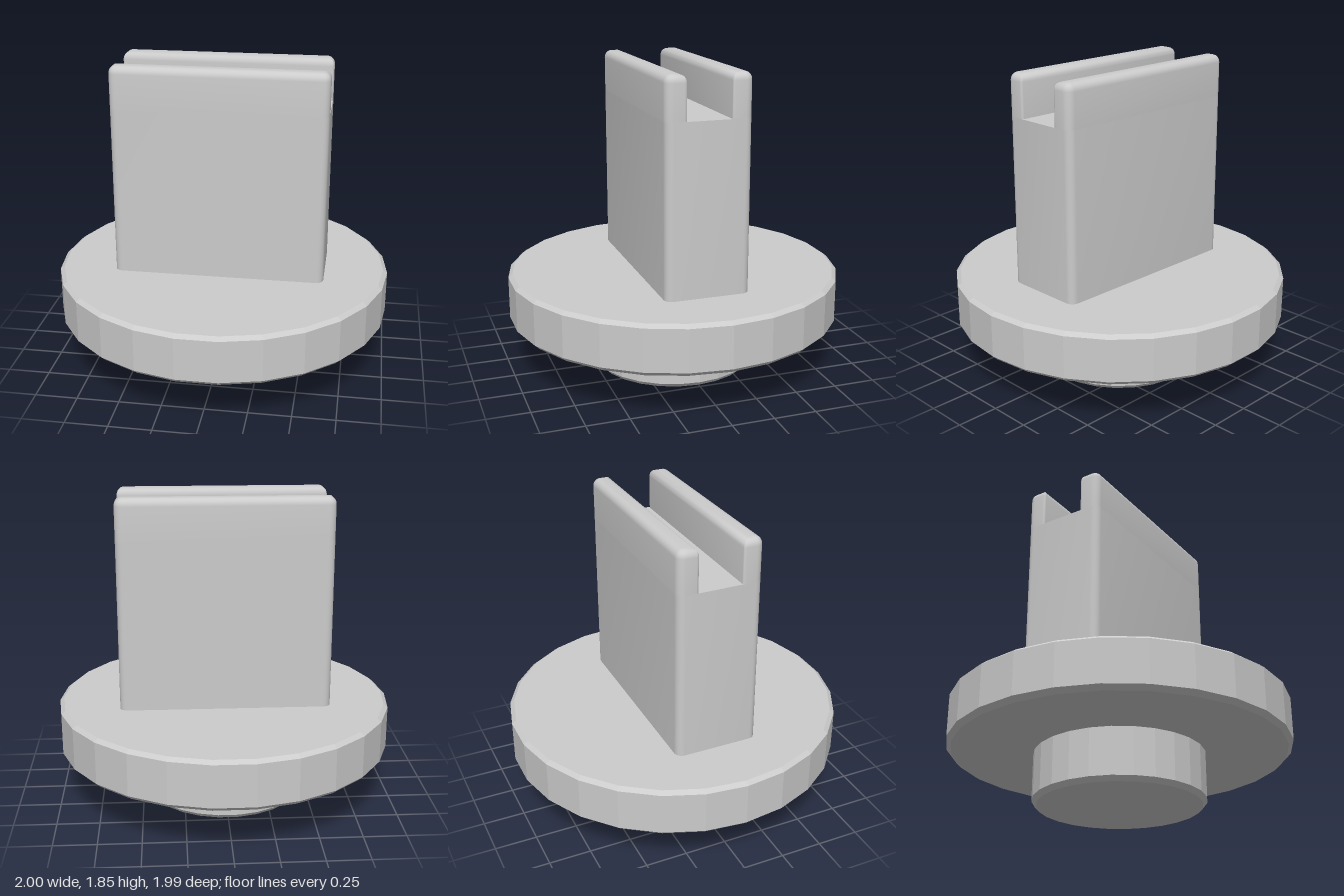
import * as THREE from 'three';
import { toCreasedNormals } from 'three/addons/utils/BufferGeometryUtils.js';

const SIDES = 26;
const HALF_WIDTH = 0.625;
const ROUND = 0.045;

const smooth = new THREE.MeshStandardMaterial({ color: 0xcccccc });
const faceted = new THREE.MeshStandardMaterial({ color: 0xcccccc, flatShading: true });

function addMesh(group, name, geometry, material) {
  const mesh = new THREE.Mesh(geometry, material);
  mesh.name = name;
  group.add(mesh);
}

// Turned disc from a radius/height profile, with a corner on the x axis
function turned(points) {
  const profile = points.map(([r, y]) => new THREE.Vector2(r, y));
  return new THREE.LatheGeometry(profile, SIDES, Math.PI / 2);
}

// Upright slab with rounded vertical corners and an optionally rounded top.
// rBack and rFront are the corner radii on the z0 and z1 sides.
function slab(z0, z1, y0, y1, rBack, rFront, topRound) {
  const steps = 6, topSteps = topRound ? 6 : 0;
  const positions = [], index = [];
  const count = 4 * (steps + 1);
  const corners = [[1, z0, 1, rBack], [-1, z0, 1, rBack], [-1, z1, -1, rFront], [1, z1, -1, rFront]];

  function loop(y, inset) {
    corners.forEach(([sx, z, sz, radius], c) => {
      const r = Math.max(radius - inset, 0.001);
      for (let i = 0; i <= steps; i++) {
        const a = (c + i / steps) * Math.PI / 2;
        positions.push(
          sx * (HALF_WIDTH - inset - r) + r * Math.cos(a),
          y,
          z + sz * (inset + r) - r * Math.sin(a)
        );
      }
    });
  }

  loop(y0, 0);
  for (let i = 0; i <= topSteps; i++) {
    const a = topSteps ? i / topSteps * Math.PI / 2 : 0;
    loop(y1 - topRound * (1 - Math.sin(a)), topRound * (1 - Math.cos(a)));
  }

  // Walls between neighbouring loops
  const loops = topSteps + 2;
  for (let k = 0; k < loops - 1; k++) {
    for (let j = 0; j < count; j++) {
      const a = k * count + j, b = k * count + (j + 1) % count;
      index.push(a, b, b + count, a, b + count, a + count);
    }
  }
  // Flat top
  const last = (loops - 1) * count, centre = loops * count;
  positions.push(0, y1, (z0 + z1) / 2);
  for (let j = 0; j < count; j++) index.push(centre, last + j, last + (j + 1) % count);

  const geometry = new THREE.BufferGeometry();
  geometry.setAttribute('position', new THREE.Float32BufferAttribute(positions, 3));
  geometry.setIndex(index);
  return toCreasedNormals(geometry, Math.PI / 5);
}

export function createModel() {
  const model = new THREE.Group();
  model.name = 'slottedPlug';

  // Chamfered foot and wide flange
  addMesh(model, 'foot', turned([[0, 0], [0.475, 0], [0.5, 0.027], [0.5, 0.3]]), faceted);
  addMesh(model, 'flange', turned([
    [0, 0.303], [0.972, 0.303], [1, 0.33], [1, 0.58], [0.975, 0.6], [0, 0.6]
  ]), faceted);

  // Upright blade, with two rails either side of the slot
  addMesh(model, 'blade', slab(-0.25, 0.25, 0.6, 1.6, ROUND, ROUND, 0), smooth);
  addMesh(model, 'backRail', slab(-0.25, -0.128, 1.6, 1.85, ROUND, 0.015, ROUND), smooth);
  addMesh(model, 'frontRail', slab(0.128, 0.25, 1.6, 1.85, 0.015, ROUND, ROUND), smooth);

  return model;
}
